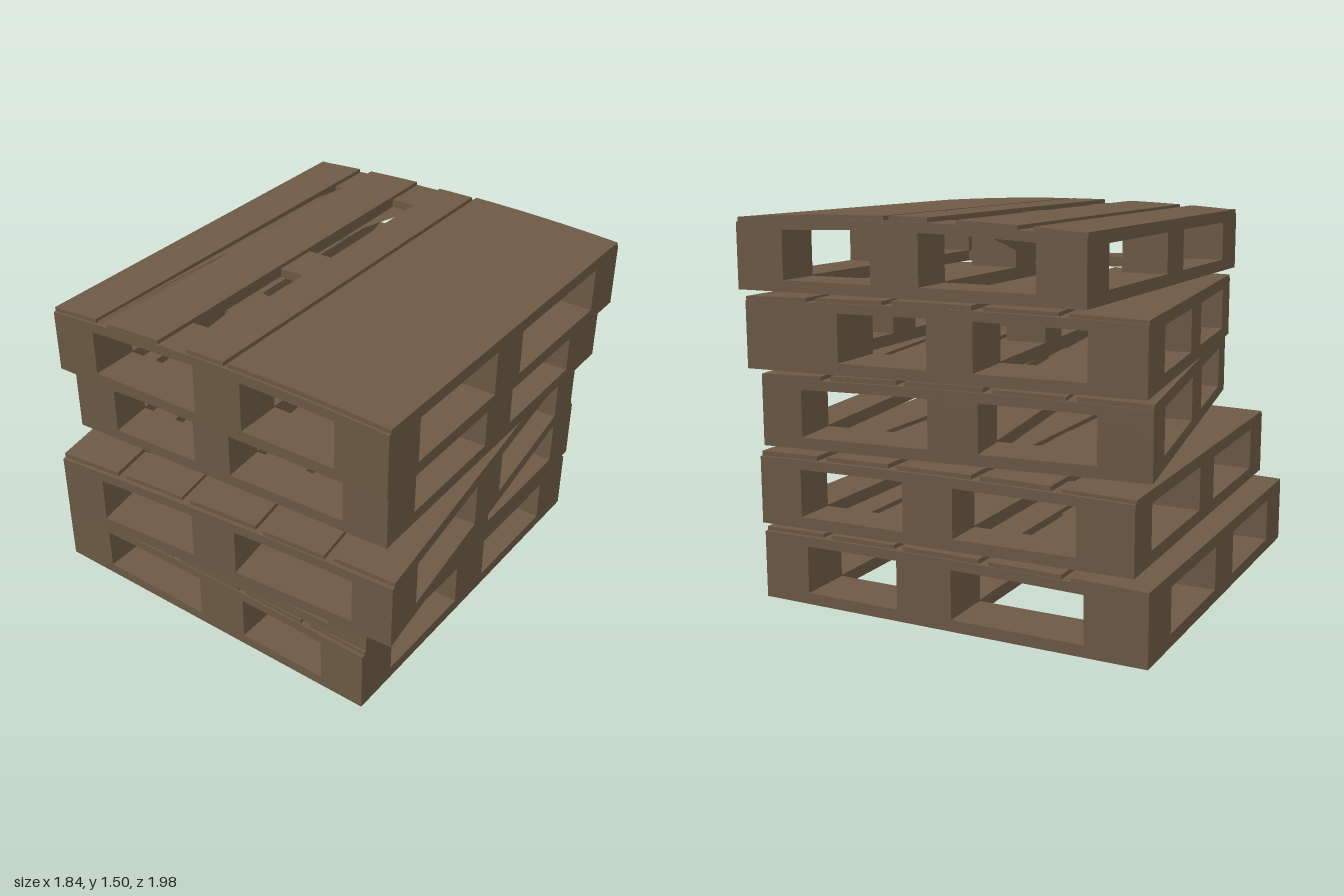
import * as THREE from 'three';

const wood = new THREE.MeshStandardMaterial({ color: 0x6d5a45, flatShading: true, side: THREE.DoubleSide });
wood.name = 'weathered wood';

// Small seeded generator for wear, returns -1..1
let seed = 7;
const wear = () => ((seed = (seed * 16807) % 2147483647) / 2147483647) * 2 - 1;

// Three block ranges from the four inner edges
const rows = (a, b, c, d) => [[0, a], [b, c], [d, 1]];

// Corners are [x, z]; across runs left-right, along runs back-front
const worn = [[0, 0.18], [0.205, 0.385], [0.41, 0.61], [0.635, 0.81], [0.835, 1]];
const topDeck = [[0, 0.14], [0.18, 0.345], [0.43, 0.54], [0.552, 1]];
const pallets = [
  { y: 0.005, fl: [-0.92, 0.68], fr: [0.68, 0.70], bl: [-0.92, -0.99], br: [0.69, -0.95], planks: worn,
    across: rows(0.15, 0.48, 0.625, 0.875), along: rows(0.135, 0.44, 0.575, 0.875) },
  { y: 0.305, fl: [-0.82, 0.70], fr: [0.69, 0.69], bl: [-0.85, -0.95], br: [0.70, -0.95], planks: worn,
    across: rows(0.14, 0.455, 0.59, 0.88), along: rows(0.105, 0.445, 0.555, 0.89) },
  { y: 0.605, fl: [-0.55, 0.99], fr: [0.92, 0.88], bl: [-0.86, -0.81], br: [0.71, -0.91], planks: worn,
    across: rows(0.13, 0.42, 0.55, 0.89), along: rows(0.12, 0.465, 0.6, 0.89) },
  { y: 0.9, fl: [-0.62, 0.81], fr: [0.80, 0.74], bl: [-0.84, -0.82], br: [0.79, -0.89], planks: worn,
    across: rows(0.135, 0.405, 0.52, 0.87), along: rows(0.16, 0.46, 0.58, 0.89) },
  { y: 1.2, fl: [-0.62, 0.88], fr: [0.86, 0.84], bl: [-0.62, -0.84], br: [0.86, -0.84], planks: topDeck, crown: 0.016,
    across: rows(0.13, 0.45, 0.59, 0.855), along: rows(0.115, 0.47, 0.58, 0.887) },
];

// Box given in pallet fractions (u left-right, v back-front), fitted to its four corners
function piece(p, name, [u0, u1], [y0, y1], [v0, v1], lift = 0) {
  const g = new THREE.BoxGeometry(1, 1, 1, 6, 1, 1);
  const a = g.attributes.position;
  for (let i = 0; i < a.count; i++) {
    const u = u0 + (a.getX(i) + 0.5) * (u1 - u0);
    const v = v0 + (a.getZ(i) + 0.5) * (v1 - v0);
    const y = y0 + (a.getY(i) + 0.5) * (y1 - y0);
    const at = k => (1 - v) * ((1 - u) * p.bl[k] + u * p.br[k]) + v * ((1 - u) * p.fl[k] + u * p.fr[k]);
    // Bowed deck: highest a little right of the middle
    const bow = y > 0.225 ? (p.crown ?? 0.006) * (1 - 1.8 * Math.pow((u - 0.58) / 0.5, 2)) : 0;
    a.setXYZ(i, at(0), p.y + y + Math.max(bow, -0.02) + lift, at(1));
  }
  g.computeVertexNormals();
  const m = new THREE.Mesh(g, wood);
  m.name = name;
  return m;
}

function makePallet(p) {
  const group = new THREE.Group();
  group.name = 'pallet';
  const [left, middle, right] = p.across;
  const [back, , front] = p.along;
  // Bottom runners and the end boards joining them
  for (const u of p.across) group.add(piece(p, 'bottomRunner', u, [0, 0.05], [0, 1]));
  for (const v of [back, front])
    for (const u of [[left[1], middle[0]], [middle[1], right[0]]])
      group.add(piece(p, 'bottomEndBoard', u, [0, 0.045], v));
  // Nine spacer blocks
  for (const u of p.across) for (const v of p.along) group.add(piece(p, 'spacerBlock', u, [0.045, 0.245], v));
  // Cross boards below the deck
  for (const v of p.along) group.add(piece(p, 'crossBoard', [0, 1], [0.23, 0.268], v));
  // Deck planks with uneven ends
  for (const u of p.planks)
    group.add(piece(p, 'deckPlank', u, [0.235, 0.284], [0.006 + 0.006 * wear(), 0.994 + 0.006 * wear()], 0.003 * wear()));
  return group;
}

// Thin triangular splinter
function splinter(...pts) {
  const g = new THREE.BufferGeometry().setFromPoints(pts.map(p => new THREE.Vector3(...p)));
  g.computeVertexNormals();
  const m = new THREE.Mesh(g, wood);
  m.name = 'splinter';
  return m;
}

export function createModel() {
  seed = 7;
  const model = new THREE.Group();
  model.name = 'palletStack';
  for (const p of pallets) model.add(makePallet(p));
  // Widened back corner block of the fourth pallet
  model.add(piece(pallets[3], 'cornerBlock', [0.75, 0.87], [0.045, 0.235], [0, 0.16]));
  // Broken boards in the gaps of the top deck
  model.add(
    splinter([-0.34, 1.47, -0.84], [-0.02, 1.44, -0.68], [-0.1, 1.44, -0.4]),
    splinter([-0.11, 1.43, -0.62], [-0.09, 1.27, -0.06], [-0.1, 1.44, 0.05]),
    splinter([-0.1, 1.43, 0.28], [-0.08, 1.3, 0.13], [-0.1, 1.43, 0.08]),
    splinter([-0.41, 1.47, 0.86], [-0.35, 1.45, 0.86], [-0.35, 1.45, -0.82]),
    splinter([-0.41, 1.47, 0.86], [-0.36, 1.45, -0.82], [-0.41, 1.46, -0.5]),
  );
  return model;
}
